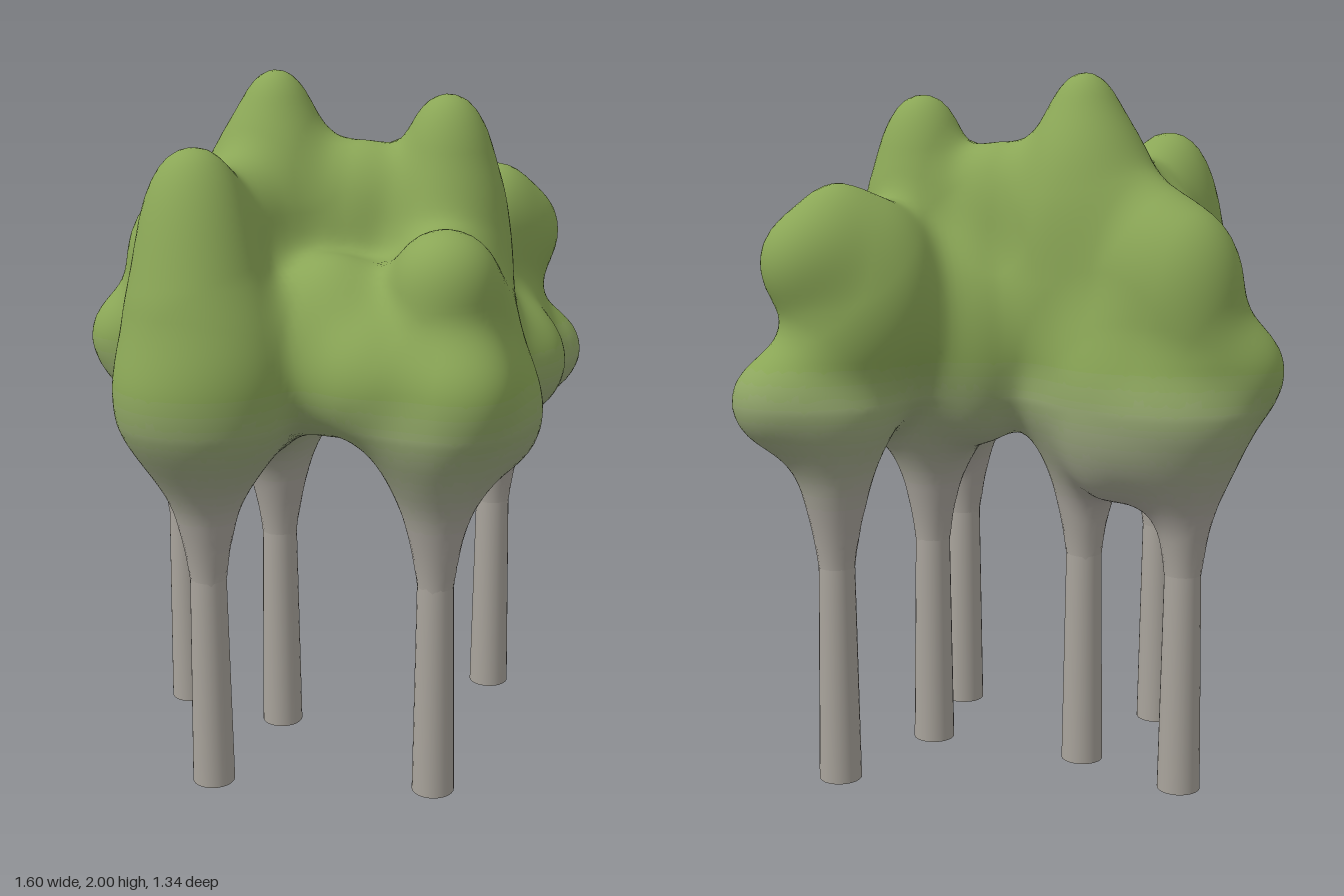
import * as THREE from 'three';

// Trees: trunk x, z, then height, radius and half height of the main crown mass
const TREES = [
  [-0.545, 0.05, 1.3, 0.215, 0.38], [-0.37, -0.49, 1.25, 0.15, 0.33],
  [-0.195, -0.19, 1.4, 0.23, 0.42], [-0.025, 0.42, 1.18, 0.17, 0.25],
  [0.17, 0.12, 1.3, 0.21, 0.38], [0.52, -0.1, 1.25, 0.14, 0.25],
];

// Extra foliage lobes: x, y, z, radius, half height
const LOBES = [
  // left tree
  [-0.54, 1.65, 0.02, 0.13, 0.18], [-0.61, 1.17, 0.07, 0.17, 0.16], [-0.5, 1.22, 0.13, 0.15, 0.2],
  // back tree
  [-0.31, 1.4, -0.36, 0.18, 0.3], [-0.36, 1.45, -0.46, 0.13, 0.16],
  [-0.51, 1.2, -0.54, 0.115, 0.12], [-0.29, 1.06, -0.47, 0.16, 0.18],
  // tallest tree
  [-0.19, 1.85, -0.18, 0.1, 0.15], [-0.19, 1.65, -0.19, 0.17, 0.22],
  // front tree
  [0.08, 1.28, 0.3, 0.2, 0.27], [0, 1.49, 0.41, 0.13, 0.13], [-0.01, 1.2, 0.53, 0.12, 0.12],
  [-0.2, 1.22, 0.34, 0.13, 0.15], [0.15, 1.1, 0.4, 0.15, 0.17],
  // middle tree
  [0.19, 1.79, 0.12, 0.11, 0.15], [0.19, 1.58, 0.12, 0.16, 0.22],
  // right tree
  [0.38, 1.38, -0.09, 0.17, 0.26], [0.5, 1.56, -0.08, 0.11, 0.14], [0.61, 1.49, -0.1, 0.1, 0.11],
  [0.66, 1.11, -0.09, 0.14, 0.13], [0.4, 1.15, 0.1, 0.19, 0.18],
  // bridges between the trees
  [-0.2, 1.28, 0.15, 0.19, 0.25], [-0.45, 1.3, -0.2, 0.14, 0.33], [0.08, 1.25, -0.06, 0.18, 0.3],
  [-0.36, 1.2, -0.05, 0.18, 0.28], [-0.38, 1.55, -0.09, 0.13, 0.19], [0, 1.63, -0.03, 0.13, 0.17],
  [0.08, 1.04, 0.27, 0.12, 0.2], [-0.2, 1.1, -0.38, 0.16, 0.27],
];

const ELLIPSOIDS = [...TREES.map(([x, z, y, r, h]) => [x, y, z, r, h]), ...LOBES];
const TRUNK_BASE = 0.061, TRUNK_TOP = 0.051;
const BLEND = 0.12;
const JOIN = 0.62; // height where straight trunks meet the blended crown

function smoothMin(a, b) {
  const h = Math.max(BLEND - Math.abs(a - b), 0) / BLEND;
  return Math.min(a, b) - h * h * BLEND * 0.25;
}

// Approximate signed distance to the crown and its flared trunk tops
function field(x, y, z) {
  let d = 1;
  for (const [cx, cy, cz, r, h] of ELLIPSOIDS) {
    const px = (x - cx) / r, py = (y - cy) / h, pz = (z - cz) / r;
    const k0 = Math.sqrt(px * px + py * py + pz * pz);
    const k1 = Math.sqrt((px * px + pz * pz) / (r * r) + (py * py) / (h * h));
    d = smoothMin(d, k0 < 0.01 ? -Math.min(r, h) : (k0 * (k0 - 1)) / k1);
  }
  const t = THREE.MathUtils.clamp((y - 0.6) / 0.5, 0, 1);
  const flare = TRUNK_TOP + 0.13 * t ** 1.5;
  for (const [cx, cz] of TREES) {
    const side = Math.sqrt((x - cx) ** 2 + (z - cz) ** 2) - flare;
    d = smoothMin(d, -smoothMin(-side, 1.1 - y));
  }
  return d;
}

// Surface nets: one vertex per crossed cell, one quad per crossed edge
function buildSurface() {
  const step = 0.02, min = [-0.9, JOIN, -0.76], n = [91, 73, 77];
  const stride = [1, n[0], n[0] * n[1]];
  const values = new Float32Array(n[0] * n[1] * n[2]);
  const cellVertex = new Int32Array(values.length).fill(-1);
  const points = [], normals = [], quads = [];

  const eachCell = (visit) => {
    for (let k = 0; k < n[2]; k++)
      for (let j = 0; j < n[1]; j++)
        for (let i = 0; i < n[0]; i++) visit([i, j, k], i + j * stride[1] + k * stride[2]);
  };

  eachCell((c, id) => {
    values[id] = field(...c.map((v, a) => min[a] + v * step));
  });

  eachCell((c, id) => {
    if (c.some((v, a) => v >= n[a] - 1)) return;
    const sum = [0, 0, 0];
    let count = 0;
    for (let corner = 0; corner < 8; corner++) {
      const o = [corner & 1, (corner >> 1) & 1, corner >> 2];
      const at = id + o[0] + o[1] * stride[1] + o[2] * stride[2];
      for (let a = 0; a < 3; a++) {
        if (o[a]) continue;
        const va = values[at], vb = values[at + stride[a]];
        if ((va < 0) === (vb < 0)) continue;
        o.forEach((v, b) => { sum[b] += v + (a === b ? va / (va - vb) : 0); });
        count++;
      }
    }
    if (!count) return;
    const [x, y, z] = c.map((v, a) => min[a] + (v + sum[a] / count) * step);
    const e = 0.008;
    const g = new THREE.Vector3(
      field(x + e, y, z) - field(x - e, y, z),
      field(x, y + e, z) - field(x, y - e, z),
      field(x, y, z + e) - field(x, y, z - e)).normalize();
    cellVertex[id] = points.length / 3;
    points.push(x, y, z);
    normals.push(g.x, g.y, g.z);
  });

  eachCell((c, id) => {
    for (let a = 0; a < 3; a++) {
      const b = (a + 1) % 3, d = (a + 2) % 3;
      if (c[a] >= n[a] - 1 || c[b] < 1 || c[d] < 1) continue;
      const inside = values[id] < 0;
      if (inside === (values[id + stride[a]] < 0)) continue;
      const q = [id - stride[b] - stride[d], id - stride[d], id, id - stride[b]].map((v) => cellVertex[v]);
      quads.push(inside ? q : q.reverse());
    }
  });
  return { points, normals, quads };
}

export function createModel() {
  const group = new THREE.Group();
  const bark = new THREE.Color(0xa8a39b), leaf = new THREE.Color(0x8aa656);
  const barkMaterial = new THREE.MeshStandardMaterial({ color: bark });
  const cutMaterial = new THREE.MeshStandardMaterial({ color: 0x8f7a6c });

  // Straight trunks with dark cut undersides
  const height = JOIN + 0.03;
  for (const [x, z] of TREES) {
    const trunk = new THREE.Mesh(new THREE.CylinderGeometry(TRUNK_TOP, TRUNK_BASE, height, 24, 1, true), barkMaterial);
    trunk.name = 'trunk';
    trunk.position.set(x, height / 2, z);
    const base = new THREE.Mesh(new THREE.CircleGeometry(TRUNK_BASE, 24), cutMaterial);
    base.name = 'trunkBase';
    base.rotation.x = Math.PI / 2;
    base.position.set(x, 0, z);
    group.add(trunk, base);
  }

  // Crown, cut into height bands that fade from bark to leaf
  const { points, normals, quads } = buildSurface();
  const position = new THREE.Float32BufferAttribute(points, 3);
  const normal = new THREE.Float32BufferAttribute(normals, 3);
  const bandCount = 14, low = 0.8, high = 1.22;
  const bands = Array.from({ length: bandCount }, () => []);
  for (const [a, b, c, d] of quads) {
    const y = (position.getY(a) + position.getY(b) + position.getY(c) + position.getY(d)) / 4;
    const t = THREE.MathUtils.clamp((y - low) / (high - low), 0, 1);
    bands[Math.round(t * (bandCount - 1))].push(a, b, c, a, c, d);
  }
  bands.forEach((index, i) => {
    const geometry = new THREE.BufferGeometry();
    geometry.setAttribute('position', position);
    geometry.setAttribute('normal', normal);
    geometry.setIndex(index);
    const color = bark.clone().lerp(leaf, i / (bandCount - 1));
    const mesh = new THREE.Mesh(geometry, new THREE.MeshStandardMaterial({ color }));
    mesh.name = i === 0 ? 'trunkFlares' : i === bandCount - 1 ? 'crown' : `crownUnderside${i}`;
    group.add(mesh);
  });
  return group;
}
